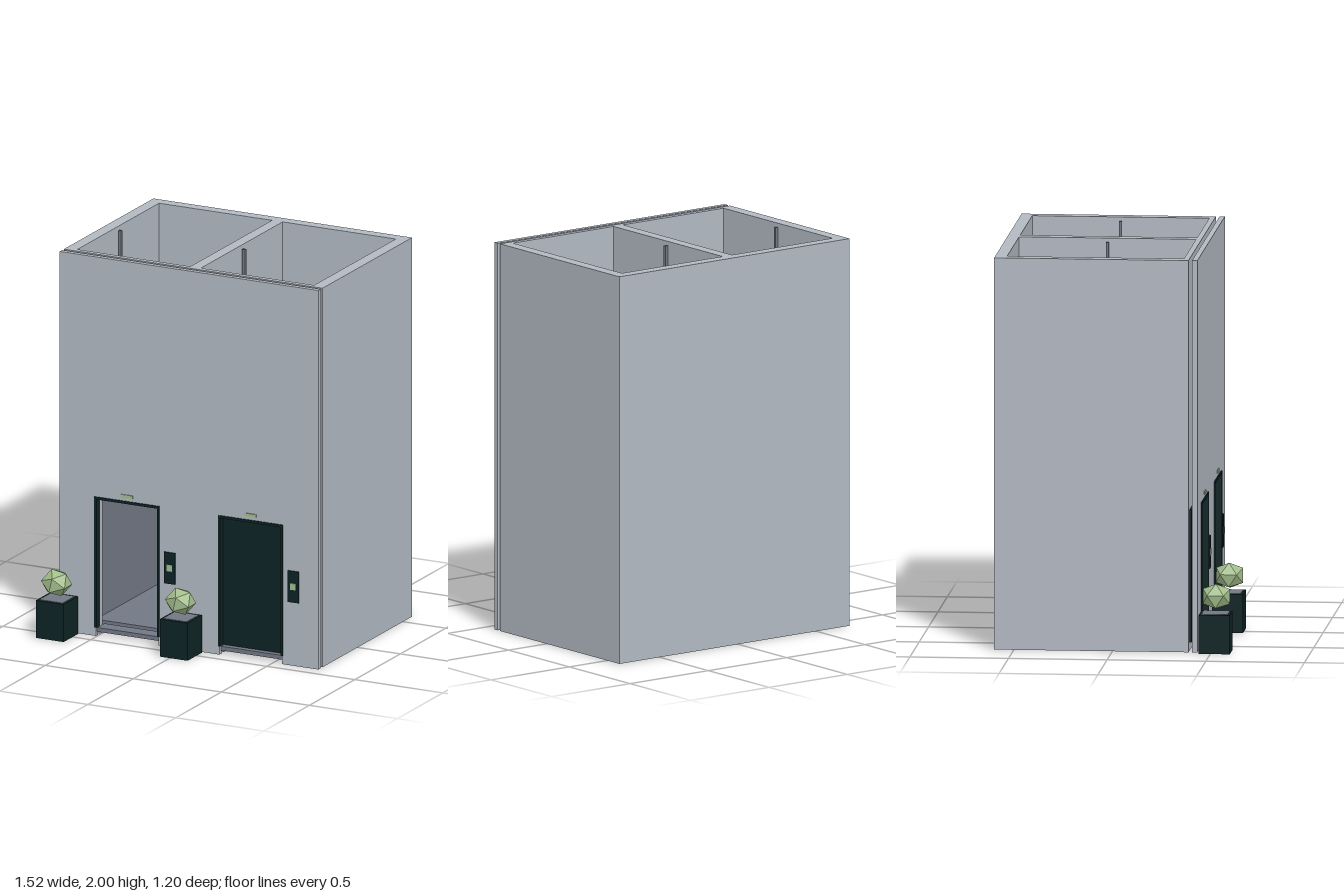
import * as THREE from 'three';

const mat = (name, color) => {
  const m = new THREE.MeshStandardMaterial({ color });
  m.name = name;
  return m;
};

export function createModel() {
  const wall = mat('concrete grey', 0xb2b9c2);
  const slate = mat('slate grey', 0x717784);
  const dark = mat('dark teal', 0x0e2325);
  const green = mat('leaf green', 0xa3be8c);
  const model = new THREE.Group();
  model.name = 'elevatorShafts';

  // Box given by its lower and upper limits on each axis
  const box = (name, material, [x0, x1], [y0, y1], [z0, z1], parent = model) => {
    const mesh = new THREE.Mesh(new THREE.BoxGeometry(x1 - x0, y1 - y0, z1 - z0), material);
    mesh.position.set((x0 + x1) / 2, (y0 + y1) / 2, (z0 + z1) / 2);
    mesh.name = name;
    parent.add(mesh);
    return mesh;
  };

  const doorX = [-0.33, 0.373]; // centre of each doorway
  const halfDoor = 0.178;
  const doorTop = 0.73;
  const left = -0.713, right = 0.757;

  // Wall sheet with both doorways cut down to the ground
  const doorwayWall = (name, z0, z1) => {
    const s = new THREE.Shape();
    s.moveTo(left, 0);
    for (const x of doorX) {
      s.lineTo(x - halfDoor, 0);
      s.lineTo(x - halfDoor, doorTop);
      s.lineTo(x + halfDoor, doorTop);
      s.lineTo(x + halfDoor, 0);
    }
    s.lineTo(right, 0);
    s.lineTo(right, 2);
    s.lineTo(left, 2);
    const geo = new THREE.ExtrudeGeometry(s, { depth: z1 - z0, bevelEnabled: false });
    const mesh = new THREE.Mesh(geo, wall);
    mesh.position.z = z0;
    mesh.name = name;
    model.add(mesh);
  };

  // Shaft shell, open at the top and bottom
  box('backWall', wall, [left, right], [0, 2], [-0.6, -0.54]);
  box('rightWall', wall, [left, -0.65], [0, 2], [-0.54, 0.357]);
  box('middleWall', wall, [-0.008, 0.052], [0, 2], [-0.54, 0.357]);
  box('leftWall', wall, [0.695, right], [0, 2], [-0.54, 0.357]);
  doorwayWall('shaftFrontWall', 0.357, 0.385);
  doorwayWall('facade', 0.403, 0.43);

  // Guide rails inside both shafts
  for (const x of [-0.637, -0.022, 0.066, 0.681])
    box('guideRail', slate, [x - 0.008, x + 0.008], [0.02, 1.98], [-0.098, -0.084]);

  // Cab standing in one shaft, open toward the doorway
  const cab = new THREE.Group();
  cab.name = 'cab';
  model.add(cab);
  const cx = [-0.6, -0.06], cy = [0.02, 0.8], cz = [-0.49, 0.29], t = 0.02;
  box('cabFloor', slate, cx, [cy[0], cy[0] + t], cz, cab);
  box('cabCeiling', slate, cx, [cy[1] - t, cy[1]], cz, cab);
  box('cabBack', slate, cx, [cy[0] + t, cy[1] - t], [cz[0], cz[0] + t], cab);
  for (const x of [cx[0], cx[1] - t])
    box('cabSide', slate, [x, x + t], [cy[0] + t, cy[1] - t], [cz[0] + t, cz[1]], cab);

  // Doorways: sill, sliding doors, frame, call panel and floor indicator
  doorX.forEach((x, i) => {
    const slide = i === 0 ? 0.175 : 0; // the doorway at the cab is open
    box('sill', slate, [x - 0.175, x + 0.175], [0.02, 0.042], [0.34, 0.42]);
    box('doorPanel', dark, [x - 0.175 - slide, x - slide], [0.045, 0.722], [0.387, 0.397]);
    box('doorPanel', dark, [x + slide, x + 0.175 + slide], [0.045, 0.722], [0.387, 0.397]);
    for (const s of [-1, 1]) {
      const jamb = [x + s * 0.184, x + s * 0.172].sort((a, b) => a - b);
      box('doorJamb', dark, jamb, [0.045, 0.735], [0.402, 0.436]);
    }
    box('doorHead', dark, [x - 0.172, x + 0.172], [0.722, 0.735], [0.402, 0.436]);
    box('callPanel', dark, [x + 0.212, x + 0.275], [0.335, 0.5], [0.43, 0.437]);
    box('callButton', green, [x + 0.228, x + 0.259], [0.402, 0.436], [0.437, 0.44]);
    box('floorIndicator', green, [x - 0.033, x + 0.033], [0.753, 0.769], [0.43, 0.436]);
  });

  // Planters with faceted shrubs
  for (const x of [-0.682, 0.022]) {
    const planter = new THREE.Group();
    planter.name = 'planter';
    planter.position.set(x, 0, 0.52);
    model.add(planter);
    box('planterBox', dark, [-0.079, 0.079], [0, 0.198], [-0.079, 0.079], planter);
    box('soil', slate, [-0.067, 0.067], [0.198, 0.201], [-0.067, 0.067], planter);
    const shrubGeo = new THREE.IcosahedronGeometry(0.08, 0);
    shrubGeo.rotateZ(-0.2).scale(1, 0.9, 1);
    shrubGeo.computeVertexNormals();
    const shrub = new THREE.Mesh(shrubGeo, green);
    shrub.position.set(0, 0.283, 0.004);
    shrub.name = 'shrub';
    planter.add(shrub);
  }

  return model;
}
